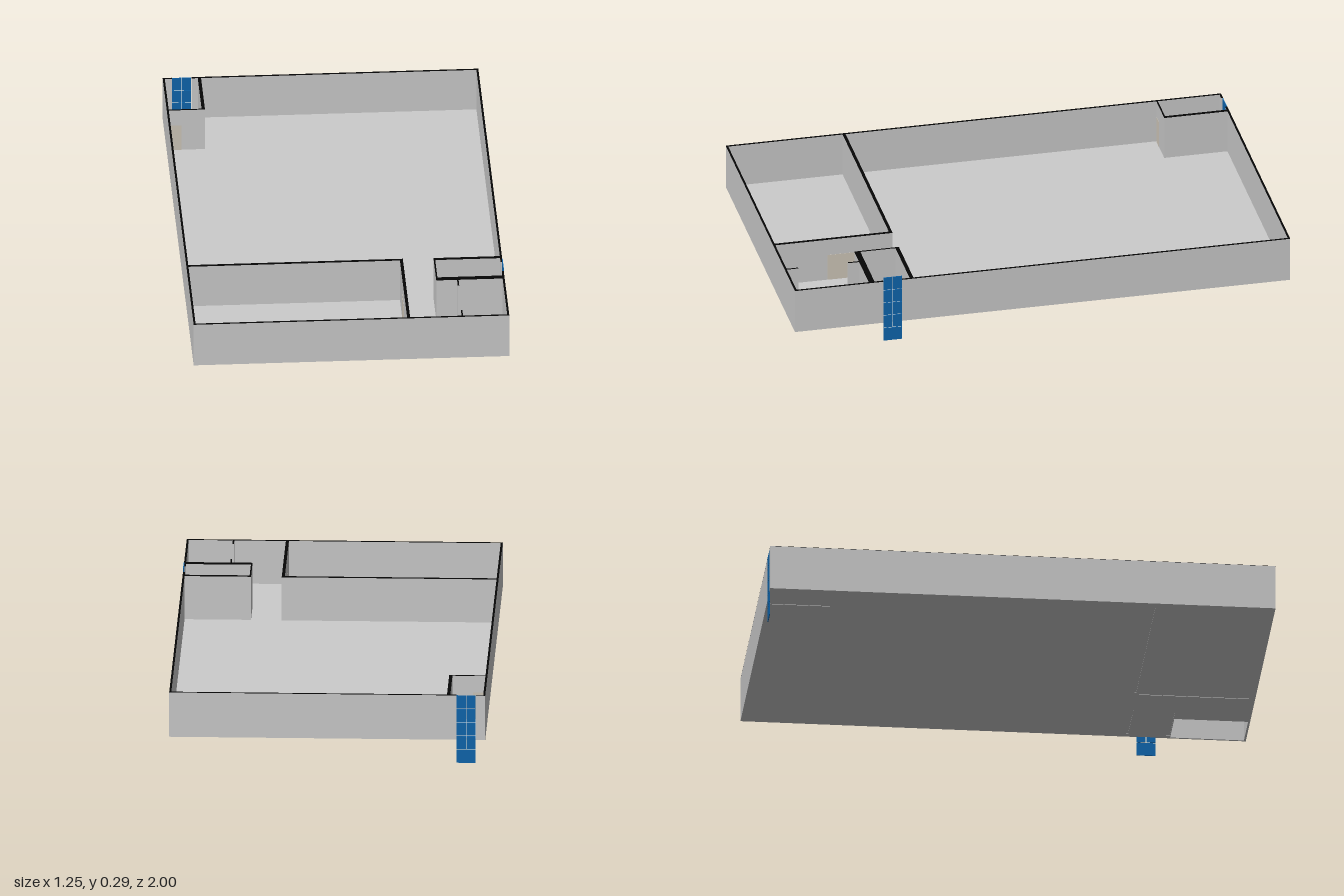
import * as THREE from 'three';

const BASE = 0.095, TOP = 0.279, FLOOR = 0.005;
const HX = 0.623, HZ = 1;

const grey = new THREE.MeshStandardMaterial({ color: 0xcccccc });
const black = new THREE.MeshStandardMaterial({ color: 0x050505 });
const blue = new THREE.MeshStandardMaterial({ color: 0x0f66ae });
const beige = new THREE.MeshStandardMaterial({ color: 0xd0c8ba });

// Box given by its extents
function box(name, [x0, x1], [y0, y1], [z0, z1], material) {
  const mesh = new THREE.Mesh(new THREE.BoxGeometry(x1 - x0, y1 - y0, z1 - z0), material);
  mesh.position.set((x0 + x1) / 2, (y0 + y1) / 2, (z0 + z1) / 2);
  mesh.name = name;
  return mesh;
}

// Grey wall with a black cut face on top
function wall(name, xs, zs, base = BASE) {
  const group = new THREE.Group();
  group.name = name;
  group.add(
    box(name + 'Body', xs, [base, TOP - 0.001], zs, grey),
    box(name + 'Cap', xs, [TOP - 0.001, TOP], zs, black),
  );
  return group;
}

// Rectangular path for floor openings
function rectPath([x0, x1], [z0, z1], PathType = THREE.Path) {
  return new PathType([
    [x0, z0], [x1, z0], [x1, z1], [x0, z1],
  ].map(([x, z]) => new THREE.Vector2(x, z)));
}

// Glazed shaft front: stacked rows of panes, the lowest undivided
function glazing(name, bottom, height) {
  const group = new THREE.Group();
  group.name = name;
  const width = 0.075, gap = 0.003, rows = 5, step = height / rows;
  for (let i = 0; i < rows; i++) {
    const ys = [bottom + i * step + (i ? gap / 2 : 0), bottom + (i + 1) * step - (i < rows - 1 ? gap / 2 : 0)];
    const spans = i === 0
      ? [[-width / 2, width / 2]]
      : [[-width / 2, -gap / 2], [gap / 2, width / 2]];
    for (const xs of spans) group.add(box('pane', xs, ys, [-0.0015, 0.0015], blue));
  }
  return group;
}

export function createModel() {
  const model = new THREE.Group();
  model.name = 'floorPlan';
  const t = 0.008;

  // Interior walls: name, x range, z range
  const partitions = [
    ['backShaftSide', [-0.485, -0.472], [-HZ + t, -0.737]],
    ['backShaftFront', [-HX + t, -0.485], [-0.743, -0.737]],
    ['frontRoomBack', [-HX + t, 0.232], [0.518, 0.53]],
    ['frontRoomSide', [0.22, 0.232], [0.53, HZ - t]],
    ['sideShaftBack', [0.353, HX - t], [0.52, 0.535]],
    ['sideShaftFront', [0.353, HX - t], [0.677, 0.7]],
    ['sideShaftEnd', [0.353, 0.359], [0.535, 0.677]],
    ['stairStubBack', [0.435, 0.441], [0.7, 0.745]],
    ['stairStubFront', [0.435, 0.441], [0.945, HZ - t]],
  ];
  for (const [name, xs, zs] of partitions) model.add(wall(name, xs, zs, BASE + 0.002));

  // Floor slab with the stair opening and grooves below the main partitions
  const slab = rectPath([-HX + 0.002, HX - 0.002], [-HZ + 0.002, HZ - 0.002], THREE.Shape);
  slab.holes.push(rectPath([0.441, HX - t], [0.7, HZ - t]));
  const grooves = [
    [[-0.483, -0.474], [-0.985, -0.75]],
    [[-0.6, 0.21], [0.52, 0.528]],
    [[0.222, 0.23], [0.54, 0.98]],
    [[0.37, 0.6], [0.523, 0.532]],
    [[0.37, 0.6], [0.68, 0.697]],
  ];
  for (const [xs, zs] of grooves) slab.holes.push(rectPath(xs, zs));
  const floorGeometry = new THREE.ExtrudeGeometry(slab, { depth: FLOOR, bevelEnabled: false });
  floorGeometry.rotateX(Math.PI / 2);
  const floor = new THREE.Mesh(floorGeometry, grey);
  floor.name = 'floor';
  floor.position.y = BASE + FLOOR;
  model.add(floor);

  // Outer walls, interrupted where the glazing stands
  model.add(
    wall('frontWall', [-HX, HX], [HZ - t, HZ]),
    wall('leftWallBack', [HX - t, HX], [-HZ + t, 0.567]),
    wall('leftWallFront', [HX - t, HX], [0.643, HZ - t]),
    wall('rightWall', [-HX, -HX + t], [-HZ + t, HZ - t]),
    wall('backWallCorner', [-HX, -0.586], [-HZ, -HZ + t]),
    wall('backWall', [-0.51, HX], [-HZ, -HZ + t]),
  );

  // Shaft glazing
  const backGlazing = glazing('backGlazing', 0, 0.278);
  backGlazing.position.set(-0.548, 0, -HZ + 0.0015);
  const sideGlazing = glazing('sideGlazing', 0.015, 0.28);
  sideGlazing.rotation.y = Math.PI / 2;
  sideGlazing.position.set(HX - 0.0015, 0, 0.605);
  model.add(backGlazing, sideGlazing);

  // Doors
  const doorHeight = [BASE + FLOOR, 0.21];
  model.add(
    box('backShaftDoor', [-0.608, -0.565], doorHeight, [-0.744, -0.736], beige),
    box('frontRoomDoor', [0.219, 0.233], doorHeight, [0.67, 0.78], beige),
  );
  return model;
}
